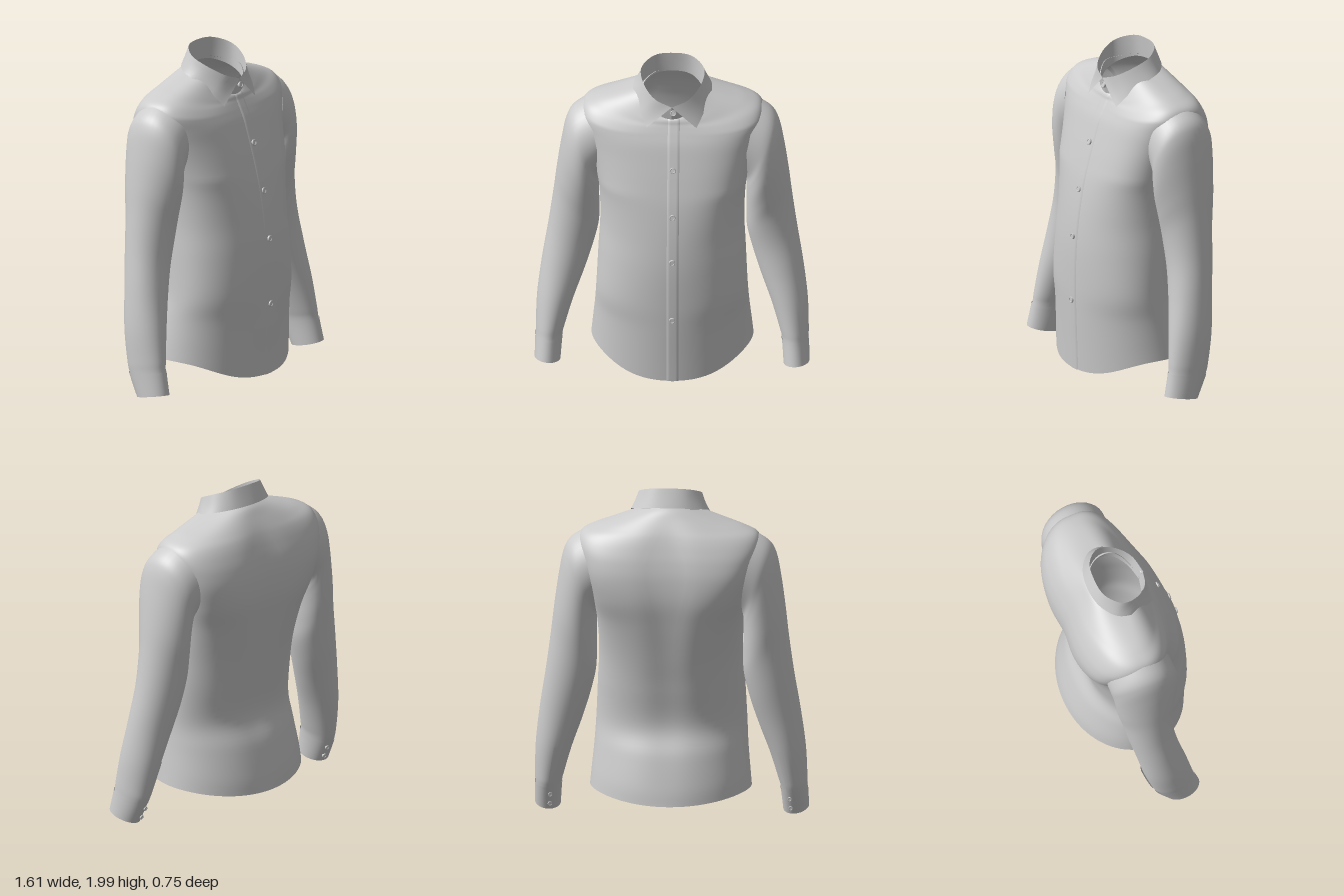
import * as THREE from 'three';

const cloth = new THREE.MeshStandardMaterial({ color: 0xcccccc, side: THREE.DoubleSide });

// Torso levels: yFront, ySide, yBack, halfWidth, zFront, zBack, squareness
const TORSO = [
  [0.05, 0.175, 0.12, 0.475, 0.355, -0.355, 2],
  [0.2, 0.27, 0.22, 0.466, 0.36, -0.34, 2],
  [0.4, 0.42, 0.4, 0.452, 0.367, -0.295, 2],
  [0.57, 0.57, 0.57, 0.443, 0.37, -0.238, 2.1],
  [0.8, 0.8, 0.8, 0.432, 0.365, -0.272, 2.1],
  [1.0, 1.0, 1.0, 0.422, 0.345, -0.313, 2.2],
  [1.2, 1.2, 1.2, 0.43, 0.31, -0.352, 2.6],
  [1.35, 1.35, 1.35, 0.455, 0.27, -0.375, 3.3],
  [1.48, 1.48, 1.48, 0.487, 0.23, -0.373, 3.8],
  [1.57, 1.58, 1.58, 0.515, 0.2, -0.355, 3.6],
  [1.63, 1.66, 1.66, 0.535, 0.173, -0.33, 3],
  [1.67, 1.722, 1.722, 0.515, 0.153, -0.305, 2.5],
  [1.69, 1.762, 1.768, 0.44, 0.143, -0.28, 2.2],
  [1.705, 1.797, 1.82, 0.34, 0.138, -0.245, 2.1],
  [1.715, 1.832, 1.865, 0.238, 0.133, -0.21, 2],
  [1.72, 1.855, 1.89, 0.172, 0.127, -0.175, 2],
];

// Sleeve rings: outer x, y, inner x, y, zFront, zBack
const SLEEVE = [
  [0.485, 1.735, 0.4, 1.29, 0.12, -0.278],
  [0.58, 1.675, 0.43, 1.235, 0.131, -0.272],
  [0.624, 1.6, 0.432, 1.17, 0.137, -0.263],
  [0.653, 1.46, 0.432, 1.1, 0.131, -0.255],
  [0.68, 1.27, 0.431, 1.0, 0.105, -0.242],
  [0.7, 1.1, 0.435, 0.88, 0.08, -0.222],
  [0.73, 0.88, 0.47, 0.73, 0.072, -0.2],
  [0.765, 0.66, 0.52, 0.57, 0.09, -0.172],
  [0.793, 0.43, 0.58, 0.4, 0.122, -0.145],
  [0.8, 0.25, 0.627, 0.24, 0.146, -0.11],
  [0.8, 0.17, 0.645, 0.165, 0.155, -0.085],
  [0.803, 0.04, 0.657, 0.025, 0.183, -0.02],
];

// Smoothly interpolated row of a table, v in 0..1
function rowAt(table, v) {
  const last = table.length - 1;
  const i = Math.min(Math.floor(v * last), last - 1);
  const t = v * last - i;
  const [a, b, c, d] = [-1, 0, 1, 2].map(k => table[Math.min(Math.max(i + k, 0), last)]);
  return b.map((q, k) => q + 0.5 * t * (c[k] - a[k]
    + t * (2 * a[k] - 5 * q + 4 * c[k] - d[k] + t * (3 * (q - c[k]) + d[k] - a[k]))));
}

// Grid surface from point(u, v)
function surface(name, point, nu, nv, closed = false) {
  const pos = [], index = [], cols = closed ? nu : nu + 1;
  for (let j = 0; j <= nv; j++)
    for (let i = 0; i < cols; i++) pos.push(...point(i / nu, j / nv).toArray());
  for (let j = 0; j < nv; j++)
    for (let i = 0; i < nu; i++) {
      const a = j * cols + i, b = j * cols + (i + 1) % cols;
      index.push(a, b, b + cols, a, b + cols, a + cols);
    }
  const geo = new THREE.BufferGeometry();
  geo.setAttribute('position', new THREE.Float32BufferAttribute(pos, 3));
  geo.setIndex(index);
  geo.computeVertexNormals();
  const mesh = new THREE.Mesh(geo, cloth);
  mesh.name = name;
  return mesh;
}

// The chest is rounder than the back
const frontSquareness = n => Math.min(n, 2.9);

// Point on the torso; angle 0 is the front centre
function torsoPoint(angle, v) {
  const [yF, yS, yB, w, zF, zB, square] = rowAt(TORSO, v);
  const s = Math.sin(angle), c = Math.cos(angle), c2 = c * c;
  const n = c > 0 ? frontSquareness(square) : square;
  const bend = q => Math.sign(q) * Math.abs(q) ** (2 / n);
  const x = w * bend(s);
  const y = c > 0 ? yS + (yF - yS) * c2 * (1 + c2 * (3 - 2 * c2)) / 2 : yS + (yB - yS) * c2;
  let z = (zF + zB) / 2 + (zF - zB) / 2 * bend(c);
  // shallow groove down the spine
  if (c < 0) z += 0.02 * Math.exp(-((x / 0.11) ** 2)) * Math.sin(Math.PI * v);
  return new THREE.Vector3(x, y, z);
}

// Point on a sleeve; angle 0 is the front, 90 degrees the outside
function sleevePoint(side, angle, v, grow = 0) {
  const [ox, oy, ix, iy, zF, zB] = rowAt(SLEEVE, v);
  const k = 1 + grow, s = Math.sin(angle) * k / 2, c = Math.cos(angle) * k / 2;
  return new THREE.Vector3(
    side * ((ox + ix) / 2 + (ox - ix) * s),
    (oy + iy) / 2 + (oy - iy) * s + 0.04 * v * v * c,
    (zF + zB) / 2 + (zF - zB) * c);
}

// Round button with a raised rim, facing the given direction
function button(name, position, direction, radius) {
  const g = new THREE.Group();
  g.name = name;
  const disc = new THREE.Mesh(new THREE.CylinderGeometry(radius, radius, 0.01, 20), cloth);
  const rim = new THREE.Mesh(new THREE.TorusGeometry(radius * 0.82, radius * 0.2, 6, 20), cloth);
  rim.rotation.x = Math.PI / 2;
  rim.position.y = 0.005;
  g.add(disc, rim);
  g.position.copy(position);
  g.quaternion.setFromUnitVectors(new THREE.Vector3(0, 1, 0), direction.clone().normalize());
  return g;
}

// Symmetric curve from the points of one half, front to back centre
function collarCurve(half) {
  const pts = half.map(p => new THREE.Vector3(...p));
  const mirrored = pts.slice(0, -1).reverse().map(p => new THREE.Vector3(-p.x, p.y, p.z));
  return new THREE.CatmullRomCurve3([...pts, ...mirrored]);
}

export function createModel() {
  const shirt = new THREE.Group();
  shirt.name = 'shirt';
  const TAU = Math.PI * 2;

  shirt.add(surface('torso', (u, v) => torsoPoint(u * TAU, v), 96, 90, true));

  // Front placket strip
  shirt.add(surface('frontPlacket', (u, v) => {
    const [, , , w, , , n] = rowAt(TORSO, v);
    const x = -0.022 + 0.07 * u;
    const angle = Math.sign(x) * Math.asin((Math.abs(x) / w) ** (frontSquareness(n) / 2));
    const p = torsoPoint(angle, v);
    p.z += u === 0 || u === 1 ? 0 : 0.004;
    return p;
  }, 8, 90));

  // Collar: folded fall outside, stand inside reaching below the neckline
  const top = collarCurve([[0, 1.815, 0.15], [0.1, 1.853, 0.12], [0.17, 1.91, 0.035],
    [0.184, 1.957, -0.06], [0.11, 1.992, -0.142], [0, 2.0, -0.16]]);
  const fall = collarCurve([[0.146, 1.677, 0.152], [0.19, 1.755, 0.088], [0.232, 1.838, -0.03],
    [0.211, 1.865, -0.112], [0.12, 1.885, -0.182], [0, 1.89, -0.203]]);
  const neck = collarCurve([[0, 1.7, 0.126], [0.1, 1.715, 0.097], [0.165, 1.775, 0.03],
    [0.176, 1.82, -0.06], [0.11, 1.86, -0.147], [0, 1.87, -0.172]]);
  const between = (a, b) => (u, v) => a.getPoint(u).lerp(b.getPoint(u), v);
  shirt.add(surface('collarFall', between(fall, top), 60, 4));
  shirt.add(surface('collarStand', between(neck, top), 60, 4));

  // Front buttons
  [[1.775, 0.147, 0.3], [1.44, 0.248, 0.35], [1.16, 0.322, 0.2], [0.875, 0.366, 0.05], [0.48, 0.374, 0]]
    .forEach(([y, z, tilt]) => shirt.add(
      button('frontButton', new THREE.Vector3(0.01, y, z), new THREE.Vector3(0, tilt, 1), 0.018)));

  for (const side of [-1, 1]) {
    const sleeve = new THREE.Group();
    sleeve.name = side > 0 ? 'leftSleeve' : 'rightSleeve';
    sleeve.add(surface('sleeve', (u, v) => sleevePoint(side, u * TAU, v), 40, 70, true));

    // Cuff band
    sleeve.add(surface('cuff',
      (u, v) => sleevePoint(side, u * TAU, 0.905 + 0.095 * v, 0.04), 40, 6, true));

    // Slit placket and two buttons at the back of the wrist
    const back = Math.PI + 0.25;
    sleeve.add(surface('cuffPlacket',
      (u, v) => sleevePoint(side, back + (u - 0.5) * 0.35, 0.72 + 0.19 * v, 0.06), 4, 14));
    for (const v of [0.935, 0.97]) {
      const p = sleevePoint(side, back, v, 0.06);
      const dir = p.clone().sub(sleevePoint(side, back, v, -1));
      sleeve.add(button('cuffButton', p, dir, 0.013));
    }
    shirt.add(sleeve);
  }
  return shirt;
}
